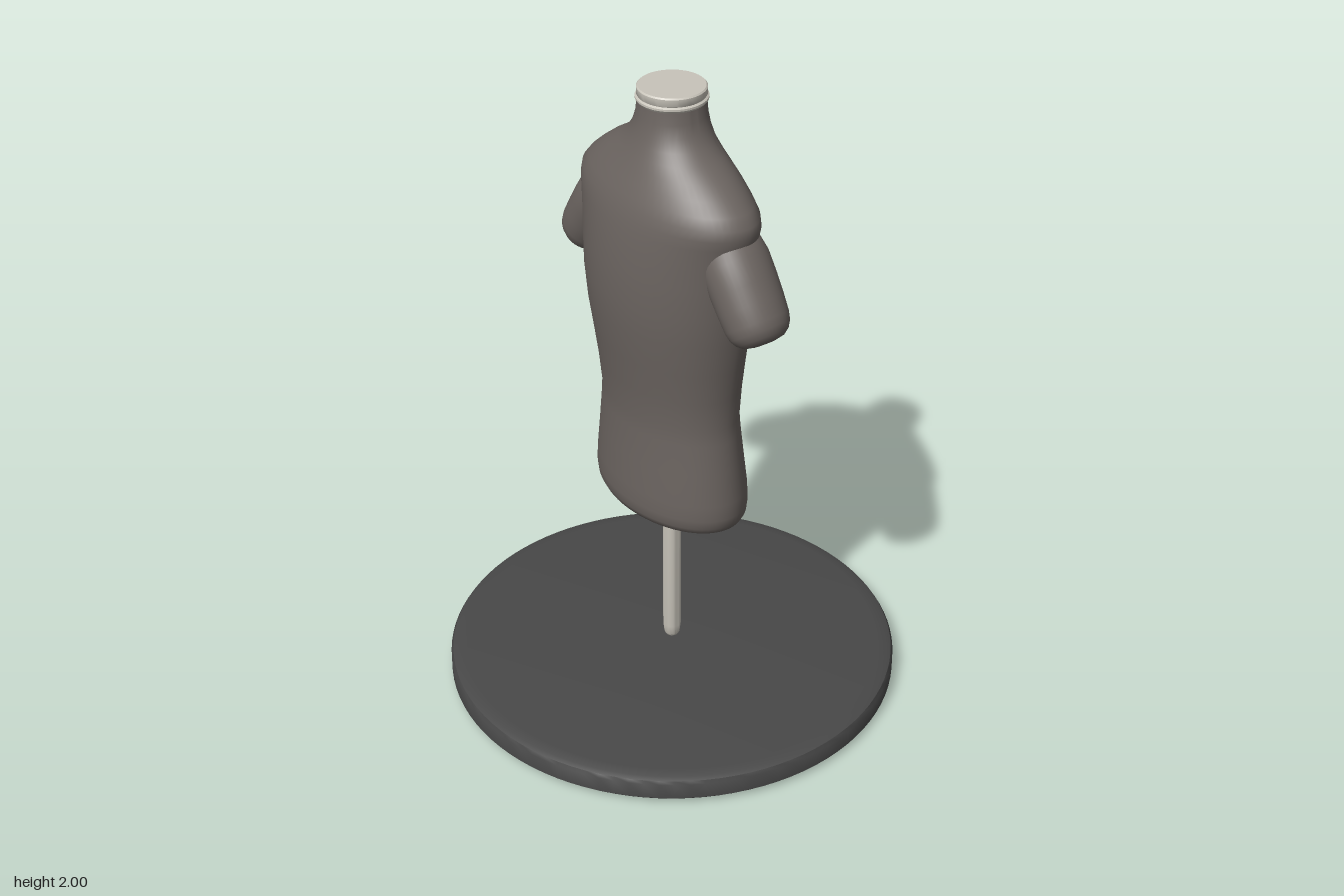
import * as THREE from 'three';
import { toCreasedNormals } from 'three/addons/utils/BufferGeometryUtils.js';

const fabric = new THREE.MeshStandardMaterial({ name: 'warm grey fabric', color: 0x6b6460 });
const metal = new THREE.MeshStandardMaterial({ name: 'pale metal', color: 0xc8c4ba });
const baseGrey = new THREE.MeshStandardMaterial({ name: 'dark base grey', color: 0x484848 });

// Torso sections, bottom to top: [y, half width, front depth, back depth, back dent]
const SECTIONS = [
  [0.645, 0.262, 0.160, 0.162, 0],
  [0.65, 0.274, 0.170, 0.170, 0],
  [0.67, 0.286, 0.179, 0.176, 0],
  [0.70, 0.291, 0.182, 0.177, 0.01],
  [0.75, 0.288, 0.181, 0.176, 0.03],
  [0.85, 0.276, 0.176, 0.164, 0.05],
  [0.95, 0.265, 0.172, 0.152, 0.06],
  [1.00, 0.260, 0.172, 0.149, 0.07],
  [1.10, 0.269, 0.183, 0.152, 0.08],
  [1.20, 0.283, 0.197, 0.157, 0.09],
  [1.30, 0.299, 0.211, 0.163, 0.09],
  [1.40, 0.311, 0.218, 0.167, 0.09],
  [1.50, 0.318, 0.216, 0.168, 0.08],
  [1.58, 0.327, 0.209, 0.167, 0.07],
  [1.63, 0.338, 0.202, 0.163, 0.06],
  [1.66, 0.347, 0.196, 0.160, 0.05],
  [1.69, 0.344, 0.188, 0.155, 0.04],
  [1.72, 0.318, 0.177, 0.149, 0.03],
  [1.755, 0.277, 0.161, 0.140, 0.02],
  [1.79, 0.230, 0.145, 0.128, 0],
  [1.82, 0.182, 0.132, 0.119, 0],
  [1.85, 0.143, 0.120, 0.110, 0],
  [1.885, 0.117, 0.109, 0.104, 0],
  [1.92, 0.104, 0.102, 0.100, 0],
  [1.962, 0.098, 0.098, 0.098, 0],
];

// Closed skin through the sections, with a softened spine hollow at the back
function torsoGeometry(sides = 64) {
  const pos = [], index = [];
  for (const [y, w, front, back, dent] of SECTIONS) {
    for (let j = 0; j < sides; j++) {
      const t = (j / sides) * Math.PI * 2;
      const x = w * Math.cos(t), s = Math.sin(t);
      const hollow = 1 - dent * Math.exp(-((x / 0.07) ** 2));
      pos.push(x, y, s >= 0 ? s * front : s * back * hollow);
    }
  }
  for (let i = 0; i < SECTIONS.length - 1; i++) {
    for (let j = 0; j < sides; j++) {
      const a = i * sides + j, b = i * sides + ((j + 1) % sides);
      index.push(a, a + sides, b, b, a + sides, b + sides);
    }
  }
  // flat underside
  const centre = pos.length / 3;
  pos.push(0, SECTIONS[0][0], 0);
  for (let j = 0; j < sides; j++) index.push(centre, j, (j + 1) % sides);
  const g = new THREE.BufferGeometry();
  g.setAttribute('position', new THREE.Float32BufferAttribute(pos, 3));
  g.setIndex(index);
  return toCreasedNormals(g, 0.9);
}

// Turned part from [radius, height] points, bottom to top
function turned(points, sides = 48, crease = 0.6) {
  const g = new THREE.LatheGeometry(points.map(([r, y]) => new THREE.Vector2(r, y)), sides);
  return toCreasedNormals(g, crease);
}

export function createModel() {
  const group = new THREE.Group();
  const add = (name, geometry, material) => {
    const mesh = new THREE.Mesh(geometry, material);
    mesh.name = name;
    group.add(mesh);
    return mesh;
  };

  add('torso', torsoGeometry(), fabric);

  // Short upper arms, rounded at the cut end
  const arm = turned([
    [0, 0], [0.06, 0.01], [0.085, 0.04], [0.094, 0.09], [0.094, 0.16], [0.092, 0.22], [0.089, 0.27],
    [0.084, 0.295], [0.073, 0.315], [0.056, 0.329], [0.03, 0.335], [0, 0.336],
  ], 40, 1.2);
  for (const [name, side] of [['leftArm', 1], ['rightArm', -1]]) {
    const mesh = add(name, arm, fabric);
    mesh.position.set(side * 0.232, 1.638, 0);
    mesh.rotation.z = -side * 2.547;
    mesh.scale.z = 1.1;
  }

  // Neck cap with a thin lip
  add('neckCap', turned([
    [0, 1.955], [0.098, 1.955], [0.104, 1.963], [0.104, 1.969], [0.098, 1.973],
    [0.1, 1.976], [0.1, 1.996], [0.096, 2], [0, 2],
  ]), metal);

  // Stand: collar under the torso, pole and round base
  add('poleCollar', turned([
    [0, 0.602], [0.07, 0.602], [0.075, 0.607], [0.075, 0.646], [0, 0.646],
  ]), metal);
  add('pole', turned([
    [0, 0.088], [0.02, 0.1], [0.024, 0.108], [0.028, 0.14], [0.028, 0.61], [0, 0.61],
  ], 24), metal);
  add('base', turned([
    [0, 0], [0.66, 0], [0.685, 0.006], [0.7, 0.02], [0.7, 0.07],
    [0.694, 0.08], [0.68, 0.086], [0.65, 0.09], [0, 0.09],
  ], 96), baseGrey);

  return group;
}
